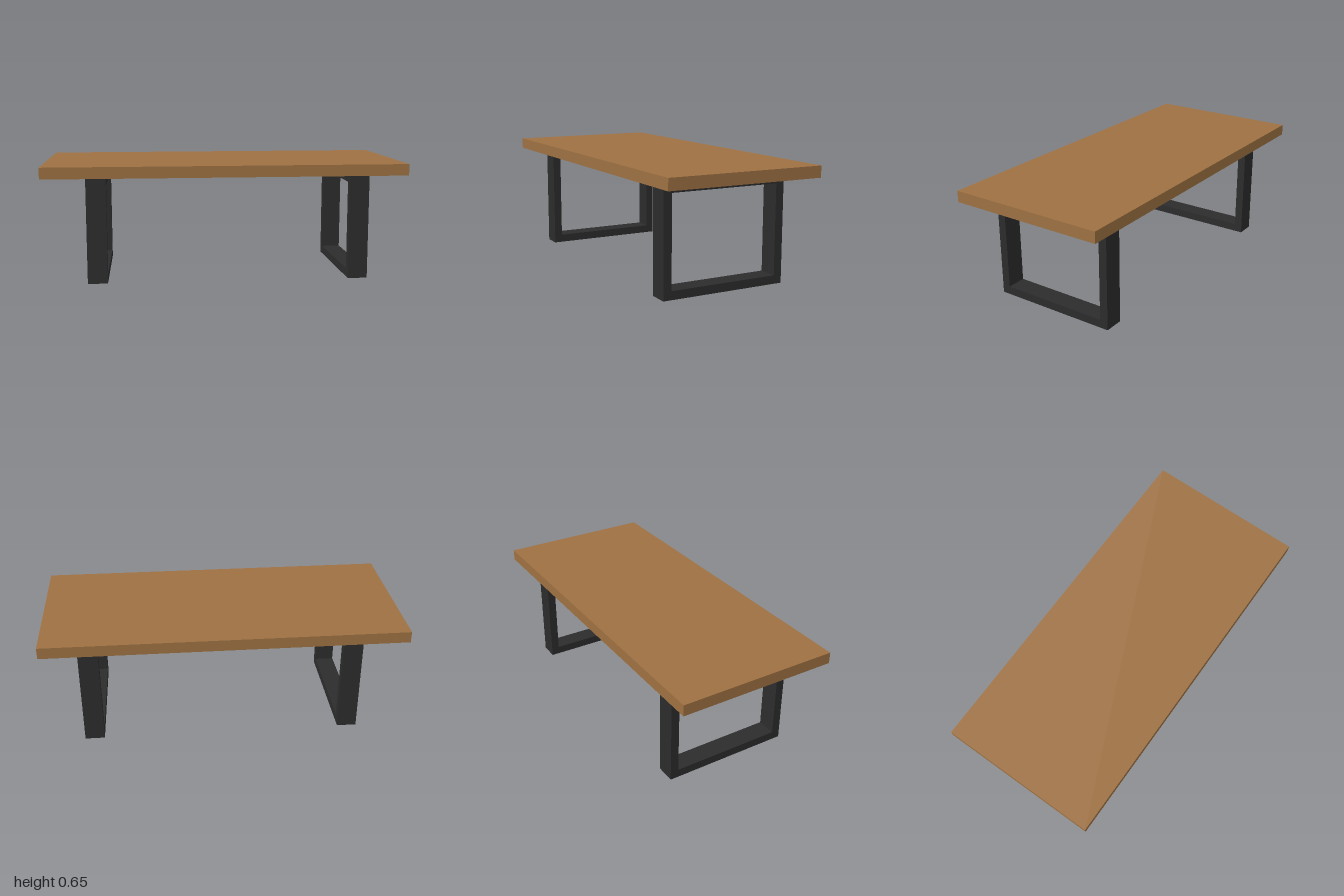
import * as THREE from 'three';

export function createModel() {
  const model = new THREE.Group();
  model.name = 'table';

  const wood = new THREE.MeshStandardMaterial({ color: 0x9e7142 });
  wood.name = 'brown wood';
  const metal = new THREE.MeshStandardMaterial({ color: 0x2c2c2c });
  metal.name = 'black metal';

  const legHeight = 0.592, topThickness = 0.063;
  const frameDepth = 0.722, frameWidth = 0.11, bar = 0.047;

  // Solid slab top
  const top = new THREE.Mesh(new THREE.BoxGeometry(2, topThickness, 0.892), wood);
  top.name = 'tableTop';
  top.position.y = legHeight + topThickness / 2;
  model.add(top);

  // Rectangular loop leg: outline with a hole, extruded across its width
  const rectangle = (path, x0, y0, x1, y1) =>
    path.moveTo(x0, y0).lineTo(x1, y0).lineTo(x1, y1).lineTo(x0, y1).closePath();
  const half = frameDepth / 2;
  const outline = rectangle(new THREE.Shape(), -half, 0, half, legHeight);
  outline.holes.push(rectangle(new THREE.Path(), -half + bar, bar, half - bar, legHeight - bar));
  const legGeometry = new THREE.ExtrudeGeometry(outline, { depth: frameWidth, bevelEnabled: false });
  legGeometry.translate(0, 0, -frameWidth / 2).rotateY(Math.PI / 2);

  // The two legs sit slightly off centre
  for (const [name, x] of [['rightLegFrame', -0.711], ['leftLegFrame', 0.748]]) {
    const leg = new THREE.Mesh(legGeometry, metal);
    leg.name = name;
    leg.position.x = x;
    model.add(leg);
  }

  return model;
}
